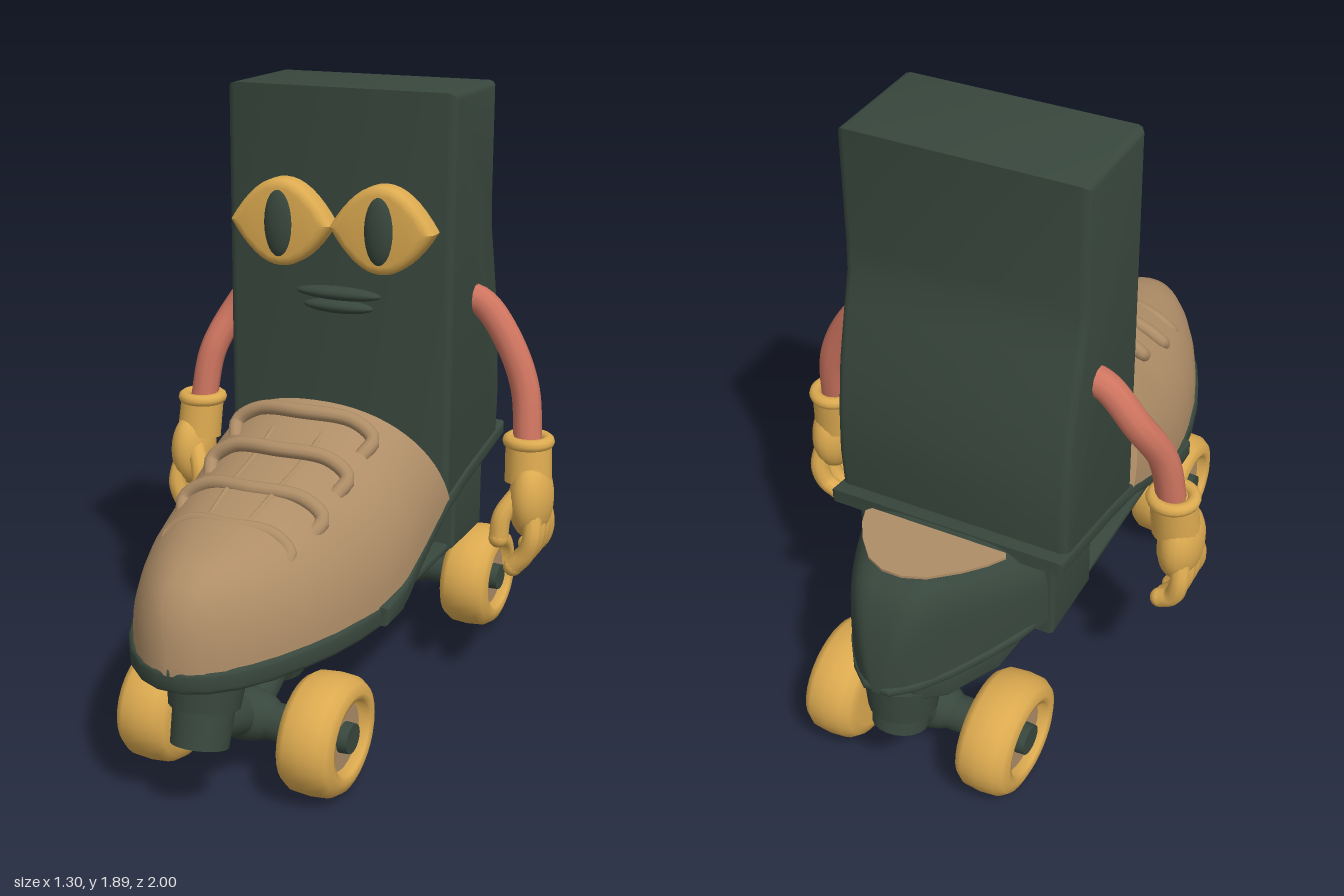
import * as THREE from 'three';
import { toCreasedNormals } from 'three/addons/utils/BufferGeometryUtils.js';

const mat = (name, color) => Object.assign(new THREE.MeshStandardMaterial({ color }), { name });
const V = (x, y, z) => new THREE.Vector3(x, y, z);

export function createModel() {
  const model = new THREE.Group();
  const green = mat('dark green', 0x38473d);
  const tan = mat('tan leather', 0xae8d67);
  const yellow = mat('mustard yellow', 0xdcaa50);
  const coral = mat('coral', 0xcf7560);

  const add = (name, geo, m, parent = model) => {
    const mesh = new THREE.Mesh(geo, m);
    mesh.name = name;
    parent.add(mesh);
    return mesh;
  };
  const extrude = (shape, depth, b) => toCreasedNormals(new THREE.ExtrudeGeometry(shape, {
    depth: depth - 2 * b, bevelEnabled: b > 0, bevelThickness: b, bevelSize: b,
    bevelOffset: -b, bevelSegments: 3, curveSegments: 16,
  }).translate(0, 0, b), 0.6);
  // [z, y] side profile, extruded across x
  const sideSlab = (pts, width, b = 0.015) =>
    extrude(new THREE.Shape(pts.map(p => new THREE.Vector2(...p))), width, b)
      .translate(0, 0, -width / 2).rotateY(-Math.PI / 2);
  // [half width, z] plan outline, mirrored in x, extruded downwards from yTop
  const planSlab = (half, yTop, depth, b = 0.01) => {
    const pts = [...half, ...half.slice().reverse().map(([x, z]) => [-x, z])];
    return extrude(new THREE.Shape(pts.map(p => new THREE.Vector2(...p))), depth, b)
      .rotateX(Math.PI / 2).translate(0, yTop, 0);
  };
  const tube = (pts, r, seg = 20) =>
    new THREE.TubeGeometry(new THREE.CatmullRomCurve3(pts), seg, r, 10);
  const ball = (r, c, s = [1, 1, 1]) =>
    new THREE.SphereGeometry(r, 20, 14).scale(...s).translate(c.x, c.y, c.z);
  const rod = (a, b, ra, rb) => {
    const dir = b.clone().sub(a);
    const g = new THREE.CylinderGeometry(rb, ra, dir.length(), 20);
    g.applyQuaternion(new THREE.Quaternion().setFromUnitVectors(V(0, 1, 0), dir.normalize()));
    const c = a.clone().lerp(b, 0.5);
    return g.translate(c.x, c.y, c.z);
  };
  // Domed loft; each section is [z, half width, bottom, top, slant], z decreasing
  const dome = (sections, n) => {
    const N = 32, pos = [], idx = [];
    const pw = v => Math.sign(v) * Math.abs(v) ** (2 / n);
    sections.forEach(([z, w, yb, yt, slant = 0], i) => {
      for (let j = 0; j <= N; j++) {
        const a = Math.PI * j / N, h = pw(Math.sin(a));
        pos.push(w * pw(Math.cos(a)), yb + (yt - yb) * h, z + slant * h);
        if (i && j < N) {
          const p = (i - 1) * (N + 1) + j, q = p + N + 1;
          idx.push(p, q, p + 1, p + 1, q, q + 1);
        }
      }
    });
    const g = new THREE.BufferGeometry();
    g.setAttribute('position', new THREE.Float32BufferAttribute(pos, 3));
    g.setIndex(idx);
    return toCreasedNormals(g, 0.8);
  };

  // Upright block with a bulging back
  add('bootShaft', sideSlab([[-0.08, 0.66], [-0.54, 0.74], [-0.55, 0.9], [-0.54, 1.04], [-0.515, 1.2],
    [-0.47, 1.37], [-0.445, 1.46], [-0.44, 1.54], [-0.44, 1.9], [-0.08, 1.9]], 0.73, 0.025), green);

  // Shoe upper, closed by a slanted collar
  add('shoeUpper', dome([[1, 0.005, 0.5, 0.52], [0.99, 0.05, 0.5, 0.61], [0.97, 0.09, 0.5, 0.68],
    [0.93, 0.135, 0.5, 0.73], [0.87, 0.18, 0.5, 0.765], [0.8, 0.222, 0.5, 0.785], [0.7, 0.267, 0.5, 0.81],
    [0.6, 0.303, 0.5, 0.837], [0.48, 0.332, 0.5, 0.868], [0.35, 0.353, 0.51, 0.895],
    [0.22, 0.366, 0.55, 0.93, 0.02], [0.1, 0.37, 0.6, 0.965, 0.07], [-0.02, 0.372, 0.64, 0.985, 0.12],
    [-0.09, 0.372, 0.67, 0.995, 0.17], [-0.095, 0.345, 0.67, 0.965, 0.15], [-0.1, 0.001, 0.67, 0.671, 0]], 2.25), tan);

  // Laces draped over the instep, and the tongue edges
  const topAt = z => 0.985 + (0.16 - z) * 0.375;
  for (const [z, w] of [[0.16, 0.22], [0.33, 0.215], [0.5, 0.215], [0.65, 0.185]]) {
    const y = topAt(z);
    add('lace', tube([V(-w * 0.92, y - 0.1, z + 0.05), V(-w, y - 0.06, z), V(-w * 0.7, y - 0.015, z - 0.01),
      V(0, y, z + 0.01), V(w * 0.7, y - 0.015, z - 0.01), V(w, y - 0.06, z), V(w * 0.92, y - 0.1, z + 0.05)], 0.022, 32), tan);
  }
  for (const s of [-1, 1])
    add('tongueEdge', tube([V(s * 0.08, 0.965, 0.12), V(s * 0.075, 0.89, 0.33), V(s * 0.07, 0.853, 0.5),
      V(s * 0.06, 0.815, 0.64)], 0.009), tan);

  // Sole, arched shank and heel cup
  const toe = [[0.365, 0.26], [0.355, 0.36], [0.336, 0.5], [0.307, 0.62], [0.27, 0.72], [0.225, 0.82],
    [0.165, 0.91], [0.1, 0.97], [0.04, 0.998]];
  add('toeSole', planSlab(toe, 0.515, 0.065, 0.015), green);
  add('archedShank', sideSlab([[0.4, 0.46], [0.4, 0.515], [0.26, 0.535], [0.12, 0.6], [-0.06, 0.685],
    [-0.25, 0.73], [-0.59, 0.785], [-0.59, 0.74], [-0.25, 0.68], [-0.06, 0.635], [0.12, 0.55],
    [0.24, 0.48], [0.3, 0.46]].reverse(), 0.745, 0.012), green);
  add('heelBlock', sideSlab([[-0.27, 0.44], [-0.53, 0.44], [-0.53, 0.76], [-0.27, 0.72]].reverse(), 0.64), green);
  add('shankBlock', sideSlab([[-0.1, 0.44], [-0.3, 0.44], [-0.3, 0.71], [-0.1, 0.66]].reverse(), 0.36), green);
  add('heelCup', dome([[-0.47, 0.32, 0.495, 0.76], [-0.56, 0.295, 0.495, 0.775], [-0.64, 0.26, 0.495, 0.79],
    [-0.72, 0.225, 0.495, 0.808], [-0.8, 0.185, 0.495, 0.825], [-0.86, 0.152, 0.495, 0.832],
    [-0.9, 0.128, 0.495, 0.815], [-0.935, 0.1, 0.495, 0.765], [-0.965, 0.07, 0.495, 0.69],
    [-0.985, 0.042, 0.495, 0.6], [-1, 0.005, 0.495, 0.5]], 4.5), green);
  add('heelBase', planSlab([[0.04, -0.997], [0.1, -0.945], [0.16, -0.86], [0.225, -0.74], [0.27, -0.64],
    [0.31, -0.5]], 0.52, 0.03), green);
  // Thin insole patch lying on the sloping heel top
  const insole = planSlab([[0.03, -0.875], [0.09, -0.845], [0.155, -0.77], [0.2, -0.7], [0.225, -0.64],
    [0.215, -0.62]], 0, 0.008, 0);
  const ip = insole.attributes.position;
  for (let i = 0; i < ip.count; i++) {
    const z = ip.getZ(i);
    ip.setY(i, ip.getY(i) + 0.793 - (z + 0.62) * 0.2);
  }
  add('insole', insole, tan);

  // Skate chassis
  const plateHalf = [[0.3, -0.48], ...toe.map(([x, z]) => [x * 0.82, z * 0.92])];
  add('chassisPlate', planSlab(plateHalf, 0.455, 0.03), green);
  add('chassisRib', planSlab(plateHalf.map(([x, z]) => [x * 0.72, z * 0.96]), 0.435, 0.045), green);
  add('rearPlate', planSlab([[0.08, -0.92], [0.15, -0.86], [0.23, -0.7], [0.25, -0.46]], 0.5, 0.08), green);

  // Trucks, stoppers and wheels
  const tyre = new THREE.LatheGeometry([[0.04, -0.08], [0.12, -0.086], [0.152, -0.075], [0.168, -0.05],
    [0.172, 0], [0.168, 0.05], [0.152, 0.075], [0.125, 0.086], [0.106, 0.08], [0.096, 0.05], [0.03, 0.045]]
    .map(p => new THREE.Vector2(...p)), 32).rotateZ(-Math.PI / 2);
  const truck = (name, z, inner, outer, low) => {
    const g = new THREE.Group();
    g.name = name;
    model.add(g);
    add('axle', rod(V(-0.29, 0.18, z), V(0.29, 0.18, z), 0.055, 0.055), green, g);
    add('axleHub', ball(0.08, V(0, 0.19, z), [1.5, 1, 1]), green, g);
    const zi = z + inner, zo = z + outer;
    add('cushion', rod(V(0, low, zi), V(0, 0.32, zi - inner * 0.12), 0.065, 0.085), green, g);
    add('cushionSeat', rod(V(0, 0.31, zi - inner * 0.12), V(0, 0.44, zi - inner * 0.2), 0.095, 0.115), green, g);
    add('stopper', rod(V(0, low, zo), V(0, 0.34, zo - outer * 0.12), 0.082, 0.088), green, g);
    add('stopperSeat', rod(V(0, 0.33, zo - outer * 0.12), V(0, 0.44, zo - outer * 0.2), 0.1, 0.115), green, g);
    add('innerArm', rod(V(0, 0.19, z), V(0, 0.3, zi), 0.06, 0.05), green, g);
    add('outerArm', rod(V(0, 0.19, z), V(0, 0.28, zo), 0.06, 0.05), green, g);
    for (const s of [-1, 1]) {
      const w = new THREE.Group();
      w.name = 'wheel';
      w.position.set(s * 0.253, 0.178, z);
      w.rotation.y = s > 0 ? 0 : Math.PI;
      w.scale.z = 1.14;
      g.add(w);
      add('tyre', tyre, yellow, w);
      add('wheelHub', rod(V(-0.02, 0, 0), V(0.052, 0, 0), 0.097, 0.097), tan, w);
      add('axleNut', rod(V(0, 0, 0), V(0.082, 0, 0), 0.046, 0.042), green, w);
    }
  };
  truck('frontTruck', 0.56, -0.25, 0.28, 0.225);
  truck('rearTruck', -0.71, 0.17, -0.17, 0.27);

  // Almond eyes with upright pupils
  const almond = new THREE.Shape();
  almond.moveTo(-0.165, 0);
  almond.quadraticCurveTo(0, -0.265, 0.165, 0);
  almond.quadraticCurveTo(0, 0.265, -0.165, 0);
  for (const s of [-1, 1]) {
    add('eye', extrude(almond, 0.09, 0.025).translate(s * 0.162, 1.5, -0.095), yellow);
    add('pupil', ball(1, V(s * 0.162, 1.5, -0.018), [0.05, 0.11, 0.032]), green);
  }

  // Lips
  for (const [y, w] of [[1.288, 0.14], [1.248, 0.115]])
    add('lip', ball(1, V(0.005, y, -0.075), [w, 0.021, 0.032]), green);

  // Arms and gloved hands
  for (const s of [-1, 1]) {
    const z0 = s > 0 ? -0.3 : -0.35;
    const P = (x, y, z) => V(s * x, y, z);
    add('arm', tube([P(0.32, 1.27, z0), P(0.39, 1.245, z0), P(0.475, 1.14, z0 + 0.01),
      P(0.535, 1.0, -0.28), P(0.56, 0.82, -0.25)], 0.044, 28), coral);
    const hand = new THREE.Group();
    hand.name = s > 0 ? 'leftHand' : 'rightHand';
    model.add(hand);
    add('gloveCuff', rod(P(0.57, 0.72, -0.235), P(0.562, 0.845, -0.25), 0.072, 0.07), yellow, hand);
    add('cuffRim', new THREE.TorusGeometry(0.06, 0.02, 10, 24).rotateX(Math.PI / 2)
      .translate(s * 0.562, 0.845, -0.25), yellow, hand);
    add('palm', ball(1, P(0.585, 0.67, -0.225), [0.066, 0.125, 0.1]), yellow, hand);
    for (let i = 0; i < 4; i++) {
      const z = -0.155 - i * 0.047, tip = P(0.555, 0.465 + (i === 3 ? 0.025 : 0), z);
      add('finger', tube([P(0.6, 0.66, z * 0.6 - 0.09), P(0.612, 0.57, z), P(0.592, 0.51, z), tip], 0.029), yellow, hand);
      add('fingertip', ball(0.029, tip), yellow, hand);
    }
    add('thumb', tube([P(0.56, 0.7, -0.19), P(0.52, 0.63, -0.145), P(0.513, 0.56, -0.135)], 0.03), yellow, hand);
    add('thumbTip', ball(0.03, P(0.513, 0.56, -0.135)), yellow, hand);
  }
  return model;
}
